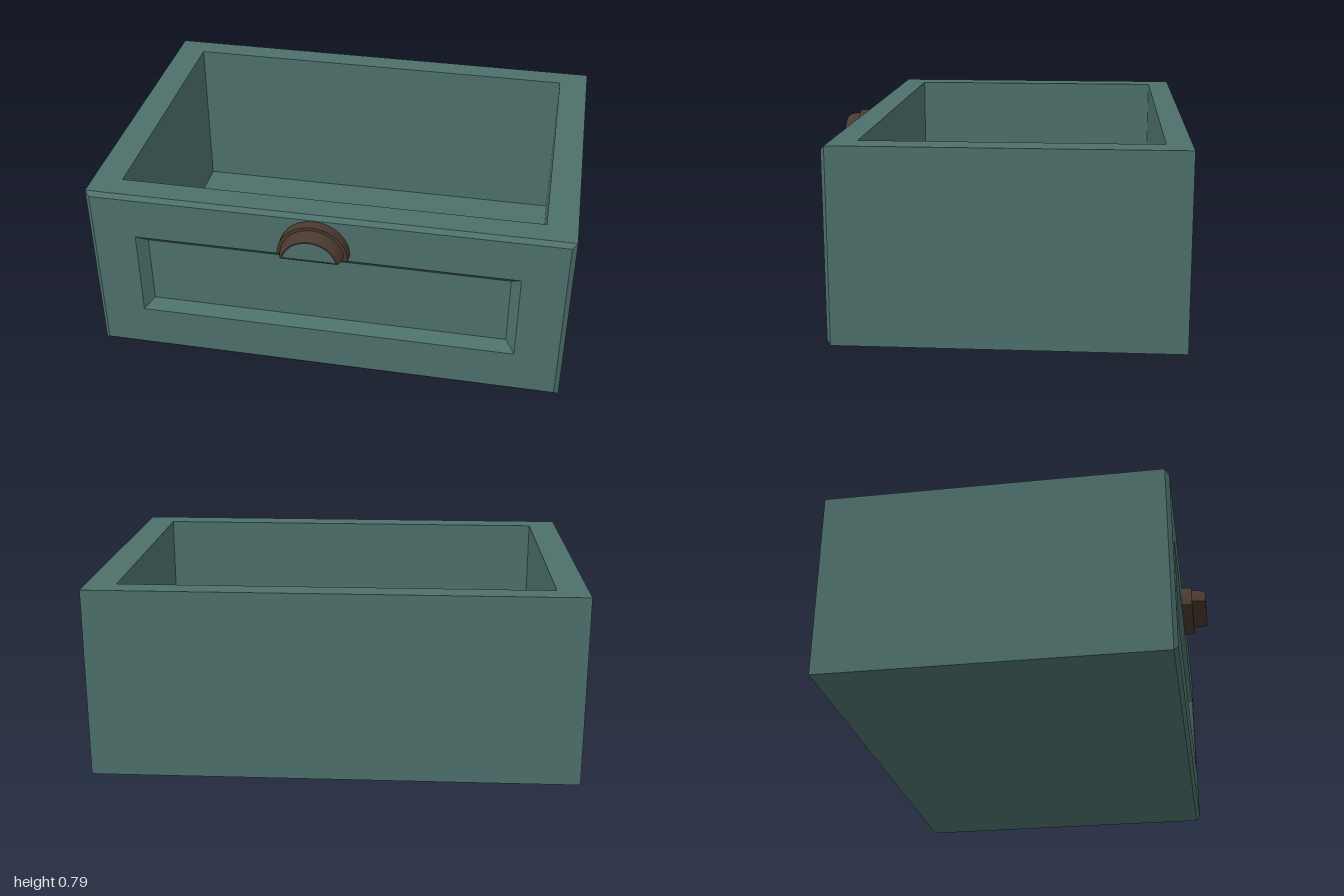
import * as THREE from 'three';
import { toCreasedNormals } from 'three/addons/utils/BufferGeometryUtils.js';

const green = new THREE.MeshStandardMaterial({ color: 0x4c6f6a });
green.name = 'painted green';
const bronze = new THREE.MeshStandardMaterial({ color: 0x4a3930 });
bronze.name = 'dark bronze';

// Joins successive loops of corners with quads; corners run counter-clockwise seen from outside.
function bridge(loops, cap = false, skip = []) {
  const out = [];
  const tri = (a, b, c) => out.push(...a, ...b, ...c);
  for (let k = 0; k + 1 < loops.length; k++) {
    const a = loops[k], b = loops[k + 1];
    a.forEach((p, i) => {
      if (skip.includes(i)) return;
      const j = (i + 1) % a.length;
      tri(p, a[j], b[j]);
      tri(p, b[j], b[i]);
    });
  }
  if (cap) {
    const end = loops[loops.length - 1];
    for (let i = 1; i + 1 < end.length; i++) tri(end[0], end[i], end[i + 1]);
  }
  const g = new THREE.BufferGeometry();
  g.setAttribute('position', new THREE.Float32BufferAttribute(out, 3));
  g.computeVertexNormals();
  return toCreasedNormals(g, 0.4);
}

function addMesh(group, name, geometry, material) {
  const mesh = new THREE.Mesh(geometry, material);
  mesh.name = name;
  group.add(mesh);
}

// Upright rectangle facing +z, and level rectangle facing +y
const upright = (x, y0, y1, z) => [[-x, y0, z], [x, y0, z], [x, y1, z], [-x, y1, z]];
const level = (x, z0, z1, y) => [[-x, y, z1], [x, y, z1], [x, y, z0], [-x, y, z0]];

// Segment of a disc with a flat lower edge at height y
const CX = -0.037, CY = 0.62, STEPS = 28;
function halfDisc(r, y, z) {
  const start = Math.asin((y - CY) / r);
  return Array.from({ length: STEPS + 1 }, (_, i) => {
    const t = start + (Math.PI - 2 * start) * i / STEPS;
    return [CX + r * Math.cos(t), CY + r * Math.sin(t), z];
  });
}

export function createModel() {
  const model = new THREE.Group();
  model.name = 'drawer';
  const H = 0.787, BACK = -0.75, EDGE = 0.628, FACE = 0.645;

  // Outer sides and back, without the front
  const base = level(1, BACK, EDGE, 0), rim = level(1, BACK, EDGE, H);
  addMesh(model, 'outerWalls', bridge([base, rim], false, [0]), green);
  addMesh(model, 'underside', bridge([[...base].reverse()], true), green);

  // Rim, inner walls and floor
  addMesh(model, 'rimAndInterior', bridge([
    rim,
    level(0.875, -0.65, 0.523, H),
    level(0.875, -0.65, 0.523, 0.08),
  ], true), green);

  // Front with bevelled border and sunken panel
  addMesh(model, 'frontPanel', bridge([
    upright(1, 0, H, EDGE),
    upright(0.98, 0.018, H - 0.018, FACE),
    upright(0.8, 0.203, 0.588, FACE),
    upright(0.76, 0.243, 0.55, FACE - 0.04),
  ], true), green);

  // Half-round cup pull: flange, tapering cup, rounded lip
  const handle = new THREE.Group();
  handle.name = 'handle';
  model.add(handle);
  const lip = halfDisc(0.112, 0.647, 0.75);
  const inner = halfDisc(0.112, 0.647, 0.745);
  addMesh(handle, 'cupPull', bridge([
    halfDisc(0.146, 0.62, 0.64),
    halfDisc(0.146, 0.62, 0.69),
    halfDisc(0.133, 0.645, 0.69),
    halfDisc(0.131, 0.645, 0.715),
    halfDisc(0.126, 0.645, 0.738),
    halfDisc(0.118, 0.645, 0.75),
    lip,
    inner,
  ]), bronze);
  addMesh(handle, 'flangeBack', bridge([halfDisc(0.146, 0.62, 0.64).reverse()], true), bronze);
  addMesh(handle, 'cupInset', bridge([inner], true), green);
  return model;
}
